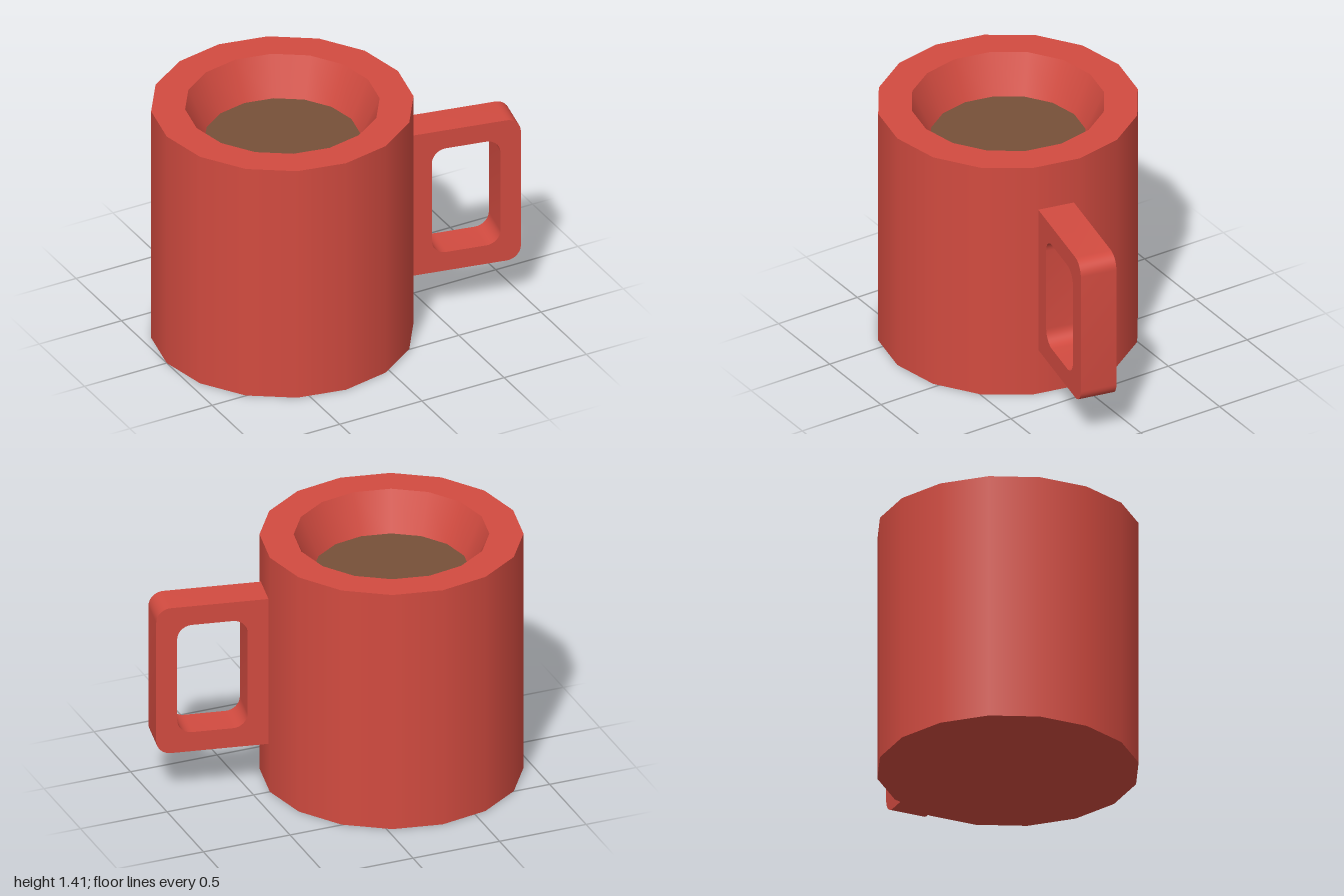
import * as THREE from 'three';
import { mergeGeometries, toCreasedNormals } from 'three/addons/utils/BufferGeometryUtils.js';

const SIDES = 16, RADIUS = 0.703, HEIGHT = 1.406, LIQUID_Y = 1.19;

// Trace a rounded rectangle; radii run bottom-left, bottom-right, top-right, top-left
function roundedRect(path, x0, y0, x1, y1, [a, b, c, d]) {
  path.moveTo(x0 + a, y0);
  path.lineTo(x1 - b, y0);
  if (b) path.absarc(x1 - b, y0 + b, b, -Math.PI / 2, 0, false);
  path.lineTo(x1, y1 - c);
  if (c) path.absarc(x1 - c, y1 - c, c, 0, Math.PI / 2, false);
  path.lineTo(x0 + d, y1);
  if (d) path.absarc(x0 + d, y1 - d, d, Math.PI / 2, Math.PI, false);
  path.lineTo(x0, y0 + a);
  if (a) path.absarc(x0 + a, y0 + a, a, Math.PI, Math.PI * 1.5, false);
  return path;
}

// Revolve each profile segment on its own so the rims stay sharp
function sharpLathe(profile) {
  const bands = [];
  for (let i = 0; i < profile.length - 1; i++) {
    const pts = [profile[i], profile[i + 1]].map(([r, y]) => new THREE.Vector2(r, y));
    bands.push(new THREE.LatheGeometry(pts, SIDES));
  }
  return mergeGeometries(bands);
}

export function createModel() {
  const red = new THREE.MeshStandardMaterial({ color: 0xd24b40 });
  red.name = 'red glaze';
  const brown = new THREE.MeshStandardMaterial({ color: 0x775039 });
  brown.name = 'coffee brown';

  const mug = new THREE.Group();
  mug.name = 'mug';
  const add = (name, geometry, material) => {
    const mesh = new THREE.Mesh(geometry, material);
    mesh.name = name;
    mug.add(mesh);
    return mesh;
  };

  // Body: base, outer wall, flat rim and tapering inner wall
  add('body', sharpLathe([
    [0, 0], [RADIUS, 0], [RADIUS, HEIGHT], [0.521, HEIGHT], [0.42, LIQUID_Y],
  ]), red);

  // Drink surface
  const liquid = add('drink', new THREE.CircleGeometry(0.42, SIDES), brown);
  liquid.rotation.x = -Math.PI / 2;
  liquid.position.y = LIQUID_Y;

  // Handle: rounded loop standing out from one facet of the body
  const shape = roundedRect(new THREE.Shape(), 0.68, 0.27, 1.3, 1.14, [0, 0.08, 0.08, 0]);
  shape.holes.push(roundedRect(new THREE.Path(), 0.803, 0.384, 1.186, 1.028, [0.08, 0.08, 0.08, 0.08]));
  const loop = new THREE.ExtrudeGeometry(shape, { depth: 0.204, bevelEnabled: false, curveSegments: 4 });
  loop.translate(0, 0, -0.102);
  const handle = add('handle', toCreasedNormals(loop, 0.7), red);
  handle.rotation.y = -Math.PI / SIDES;

  // Shift so body and handle together are centred
  mug.children.forEach((part) => { part.position.x = RADIUS - 1; });
  return mug;
}
